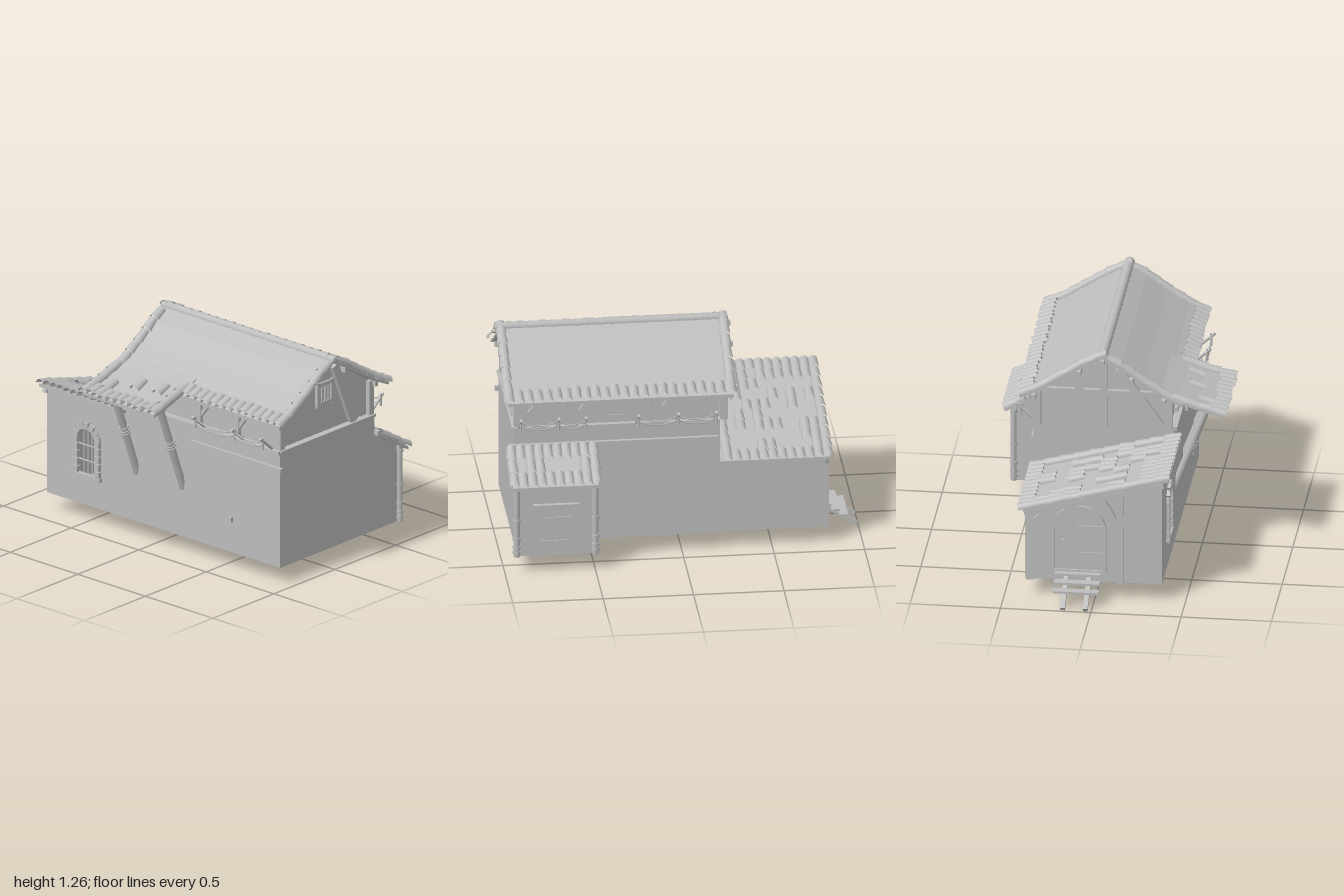
import * as THREE from 'three';

const V = (x, y, z) => new THREE.Vector3(x, y, z);

export function createModel() {
  const house = new THREE.Group();
  house.name = 'house';
  const grey = new THREE.MeshStandardMaterial({ color: 0xbcbcbc, side: THREE.DoubleSide });
  grey.name = 'plain grey';
  let seed = 7;
  const rand = () => (seed = (seed * 16807) % 2147483647) / 2147483647;

  const add = (name, geo) => {
    const m = new THREE.Mesh(geo, grey);
    m.name = name;
    house.add(m);
    return m;
  };
  // Box by its limits
  const box = (name, x0, x1, y0, y1, z0, z1) => add(name, new THREE.BoxGeometry(x1 - x0, y1 - y0, z1 - z0))
    .position.set((x0 + x1) / 2, (y0 + y1) / 2, (z0 + z1) / 2);
  // Bar between two points
  const bar = (name, a, b, geo) => {
    const m = add(name, geo);
    m.position.copy(a).add(b).multiplyScalar(0.5);
    m.quaternion.setFromUnitVectors(V(0, 1, 0), b.clone().sub(a).normalize());
  };
  const beam = (name, a, b, w, d = w) => bar(name, a, b, new THREE.BoxGeometry(w, a.distanceTo(b), d));
  const rod = (name, a, b, r) => bar(name, a, b, new THREE.CylinderGeometry(r, r, a.distanceTo(b), 10));
  const outline = (pts) => new THREE.Shape(pts.map(([x, y]) => new THREE.Vector2(x, y)));
  // Flat walls facing z (points x, y) or facing x (points z, y)
  const wallZ = (name, pts, z) => { add(name, new THREE.ShapeGeometry(outline(pts))).position.z = z; };
  const wallX = (name, shape, x) => {
    const m = add(name, new THREE.ShapeGeometry(shape));
    m.rotation.y = -Math.PI / 2;
    m.position.x = x;
  };
  const rect = (a, b, c, d) => [[a, c], [b, c], [b, d], [a, d]];
  const slab = (name, line, z0, z1, t = 0.018) => {
    const under = line.map(([x, y]) => [x, y - t]).reverse();
    add(name, new THREE.ExtrudeGeometry(outline([...line, ...under]), { depth: z1 - z0, bevelEnabled: false })).position.z = z0;
  };
  // Tapered half-round clay tile
  const tileGeo = new THREE.CylinderGeometry(0.025, 0.031, 1, 8, 1, true, -Math.PI / 2, Math.PI);
  const tile = (p, dir, len = 0.085, w = 1) => {
    const d = dir.clone().normalize();
    d.y += (rand() - 0.5) * 0.1;
    d.z += (rand() - 0.5) * 0.08;
    d.normalize();
    const n = V(0, 1, 0).addScaledVector(d, -d.y).normalize();
    const m = add('roofTile', tileGeo);
    m.quaternion.setFromRotationMatrix(new THREE.Matrix4().makeBasis(d.clone().cross(n), d, n));
    m.position.copy(p).addScaledVector(n, 0.004);
    m.scale.set(w, len, w);
  };
  const interp = (line) => (x) => {
    let i = 1;
    while (i < line.length - 1 && x > line[i][0]) i++;
    const [a, b] = [line[i - 1], line[i]];
    return a[1] + (b[1] - a[1]) * (x - a[0]) / (b[0] - a[0]);
  };
  const onSlope = (f, x, z, len, w) => {
    const s = (f(x + 0.01) - f(x - 0.01)) / 0.02;
    tile(V(x, f(x), z), s > 0 ? V(1, s, 0) : V(-1, -s, 0), len, w);
  };
  const eave = (f, x, z0, z1, len = 0.085) => {
    const n = Math.round((z1 - z0) / 0.053);
    for (let i = 0; i <= n; i++) onSlope(f, x + (rand() - 0.5) * 0.015, z0 + (z1 - z0) * i / n, len);
  };
  const verge = (f, x0, x1, z) => {
    const n = Math.round((x1 - x0) / 0.068);
    for (let i = 0; i <= n; i++) onSlope(f, x0 + (x1 - x0) * i / n, z, 0.08);
  };

  // Ground-floor walls, open underneath
  wallZ('frontWall', [[-0.37, 0.1], [0.6, 0.1], [0.6, 0.555], [0.41, 0.665], [0.395, 0.78], [-0.37, 0.78]], 0.93);
  wallZ('rearWall', rect(-0.37, 0.41, 0.1, 0.78), -0.21);
  wallX('leftWall', outline(rect(-0.21, 0.93, 0.1, 0.78)), -0.37);
  wallX('rightWall', outline([[-0.21, 0.1], [0.5, 0.1], [0.5, 0.66], [0.93, 0.66], [0.93, 0.78], [-0.21, 0.78]]), 0.405);
  box('rightTrim', 0.4, 0.425, 0.665, 0.69, -0.2, 0.96);
  box('leftTrim', -0.388, -0.365, 0.665, 0.69, 0.28, 0.95);
  box('frontSill', -0.37, 0.405, 0.775, 0.787, 0.88, 0.94);
  box('rightSill', 0.37, 0.412, 0.765, 0.787, -0.21, 0.93);
  box('leftSill', -0.385, -0.34, 0.765, 0.787, -0.21, 0.93);
  box('leftStub', -0.385, -0.365, 0.28, 0.31, 0.55, 0.58);

  // Main roof with bare slopes and a left wing
  const roof = [[-0.42, 0.955], [-0.32, 1.005], [-0.2, 1.08], [-0.08, 1.165], [0.02, 1.222],
    [0.12, 1.172], [0.25, 1.09], [0.37, 1.015], [0.48, 0.965]];
  const roofY = interp(roof);
  slab('mainRoof', roof, -0.28, 0.97);
  const wing = [[-0.65, 0.905], [-0.5, 0.945], [-0.4, 0.98], [-0.3, 1.022]];
  const wingY = interp(wing);
  slab('wingRoof', wing, -0.28, 0.25);
  for (let i = 0; i < 20; i++) tile(V(0.02, 1.222, -0.25 + i * 0.0635), V(0, 0, -1), 0.075, 0.95);
  eave(roofY, -0.385, 0.27, 0.96);
  eave(roofY, 0.44, -0.26, 0.96);
  for (const z of [0.962, -0.268]) verge(roofY, -0.38, 0.44, z);
  eave(wingY, -0.62, -0.27, 0.24);
  for (const z of [-0.268, 0.235]) verge(wingY, -0.6, -0.4, z);
  for (const [x, z] of [[-0.54, -0.17], [-0.47, -0.02], [-0.45, 0.13]]) onSlope(wingY, x, z, 0.09);
  for (const x of [-0.39, -0.32, -0.14, 0.02, 0.15, 0.4]) {
    const y = roofY(x) - 0.032;
    box('purlin', x - 0.011, x + 0.011, y - 0.014, y + 0.014, -0.31, 0.95);
  }

  // Upper storey: gables, planks and side walls
  const under = (x) => roofY(x) - 0.018;
  const gable = [[-0.35, 0.78], [0.39, 0.78], ...[0.39, 0.25, 0.12, 0.02, -0.08, -0.2, -0.32, -0.35].map((x) => [x, under(x)])];
  for (const [z, out] of [[0.89, 1], [-0.2, -1]]) {
    wallZ('gableWall', gable, z);
    for (let i = 0; i < 10; i++) {
      const x = -0.35 + i * 0.074;
      const p = rect(x, x + 0.068, 0.78, 1);
      p[2][1] = under(x + 0.068);
      p[3][1] = under(x);
      wallZ('gablePlank', p, z + out * (0.008 + 0.004 * rand()));
    }
    const zf = z + out * 0.025;
    beam('gableBrace', V(0.09, 1.16, zf), V(0.245, 0.785, zf), 0.05, 0.025);
    if (out < 0) {
      beam('gableBrace', V(-0.06, 1.13, zf), V(-0.3, 0.8, zf), 0.04, 0.025);
      box('gablePost', 0, 0.04, 0.78, 1.19, zf - 0.012, zf + 0.012);
      box('gableTie', -0.35, 0.39, 0.97, 1.0, zf - 0.012, zf + 0.012);
    }
    for (const x of [-0.345, 0.385]) box('cornerPost', x - 0.018, x + 0.018, 0.78, under(x) - 0.005, zf - 0.03, zf + 0.012);
  }
  wallX('upperLeftWall', outline(rect(-0.2, 0.89, 0.78, 0.97)), -0.345);
  wallX('upperRightWall', outline(rect(-0.2, 0.89, 0.78, 0.985)), 0.385);

  // Shuttered windows: frame, panel and bars facing +z, then turned in place
  const windowAt = (x, y, z, turn, w, h) => {
    const g = new THREE.Group();
    g.name = 'window';
    const part = (name, pw, ph, px, py, pz) => {
      const m = new THREE.Mesh(new THREE.BoxGeometry(pw, ph, 0.012), grey);
      m.name = name;
      m.position.set(px, py, pz);
      g.add(m);
    };
    part('panel', w, h, 0, 0, 0);
    for (const s of [-1, 1]) {
      part('jamb', 0.025, h + 0.02, s * w * 0.45, 0, 0.01);
      part('rail', w, 0.02, 0, s * h * 0.45, 0.008);
    }
    for (let i = -1; i <= 1; i++) part('windowBar', 0.007, h, i * w * 0.2, 0, 0.008);
    g.position.set(x, y, z);
    g.rotation.y = turn;
    house.add(g);
  };
  windowAt(0.01, 1.02, 0.91, 0, 0.13, 0.125);
  windowAt(0.395, 0.885, 0.37, Math.PI / 2, 0.13, 0.12);

  // Timber framing and rope railing on both long sides
  for (const [s, x, posts, ropes] of [
    [1, 0.392, [0.87, 0.59, 0.13, -0.18], [[0.9, 0.69, 0.54], [0.25, 0.03, -0.18]]],
    [-1, -0.352, [0.87, 0.6, 0.32], [[0.87, 0.66, 0.37]]]]) {
    for (const z of posts) {
      box('sidePost', x - 0.014, x + 0.014, 0.78, 0.975, z - 0.017, z + 0.017);
      for (const d of [-1, 1]) {
        if (Math.abs(z + d * 0.1 - 0.35) < 0.47) beam('sideBrace', V(x, 0.83, z), V(x, 0.965, z + d * 0.1), 0.02, 0.022);
      }
    }
    for (const run of ropes) run.forEach((z, i) => {
      const tip = V(x + s * 0.115, 0.872, z);
      rod('railPost', V(x + s * 0.02, 0.79, z), tip, 0.008);
      rod('railPeg', tip.clone().add(V(-s * 0.02, -0.07, 0)), tip.clone().add(V(-s * 0.02, 0, 0)), 0.007);
      if (!i) return;
      for (const y of [0.855, 0.83]) {
        const a = V(x + s * 0.095, y, run[i - 1]), b = V(x + s * 0.095, y, z);
        const mid = a.clone().lerp(b, 0.5).add(V(0, -0.055, 0));
        add('rope', new THREE.TubeGeometry(new THREE.QuadraticBezierCurve3(a, mid, b), 10, 0.004, 5));
      }
    });
  }

  // Slanting props under the wing
  for (const z of [-0.14, 0.2]) {
    const a = V(-0.555, 0.915, z), b = V(-0.355, 0.38, z);
    rod('wingProp', a, b, 0.022);
    for (const t of [0.43, 0.47, 0.5]) rod('propBinding', a.clone().lerp(b, t), a.clone().lerp(b, t + 0.02), 0.028);
    beam('wingStrut', V(-0.54, 0.88, z), V(-0.43, 0.945, z), 0.02);
  }
  box('wingBeam', -0.57, -0.54, 0.9, 0.925, -0.26, 0.24);

  // Rear annexe with a single-pitch roof
  const annexY = (x) => 0.635 - 0.27 * x;
  const annexTop = (x) => annexY(x) - 0.02;
  wallZ('annexRearWall', [[-0.37, 0.1], [0.38, 0.1], [0.38, annexTop(0.38)], [-0.37, annexTop(-0.37)]], -0.795);
  wallX('annexRightWall', outline(rect(-0.795, -0.21, 0.1, annexTop(0.38))), 0.385);
  const side = outline(rect(-0.795, -0.21, 0.1, annexTop(-0.37)));
  const hole = new THREE.Path().moveTo(-0.56, 0.29).lineTo(-0.43, 0.29).lineTo(-0.43, 0.49);
  hole.absarc(-0.495, 0.49, 0.065, 0, Math.PI).lineTo(-0.56, 0.29);
  side.holes.push(hole);
  wallX('annexLeftWall', side, -0.37);
  // Stone surround and bars of the arched window
  for (let i = 0; i < 5; i++) for (const s of [-1, 1]) {
    const z = -0.495 + s * 0.08, y = 0.28 + i * 0.045;
    box('windowStone', -0.388, -0.36, y, y + 0.04, z - 0.018, z + 0.018);
  }
  for (let i = 0; i < 7; i++) {
    const a = Math.PI * (i + 0.5) / 7, dz = Math.cos(a), dy = Math.sin(a);
    beam('archStone', V(-0.374, 0.49 + dy * 0.063, -0.495 + dz * 0.063), V(-0.374, 0.49 + dy * 0.1, -0.495 + dz * 0.1), 0.028, 0.032);
  }
  box('windowSill', -0.39, -0.36, 0.262, 0.285, -0.6, -0.39);
  for (const z of [-0.525, -0.495, -0.465]) rod('windowBar', V(-0.365, 0.29, z), V(-0.365, 0.545, z), 0.005);
  for (const y of [0.36, 0.45]) rod('windowBar', V(-0.365, y, -0.56), V(-0.365, y, -0.43), 0.005);

  slab('annexRoof', [[-0.41, annexY(-0.41)], [0.4, annexY(0.4)]], -0.82, -0.215);
  for (let c = 0; c < 10; c++) for (let r = 0; r < 12; r++) {
    const edge = c === 0 || c === 9 || r === 0 || r === 11;
    if (edge || rand() < 0.45) onSlope(annexY, -0.375 + c * 0.0835, -0.81 + r * 0.0505, 0.09);
  }
  // Timbers on the annexe rear
  for (const x of [0.36, -0.14]) {
    box('annexPost', x - 0.02, x + 0.02, 0.1, annexTop(x), -0.815, -0.79);
    for (const d of [-1, 1]) {
      const tx = x + d * 0.1;
      if (tx < 0.4) beam('annexBrace', V(x, 0.43, -0.805), V(tx, annexTop(tx) - 0.02, -0.805), 0.024, 0.02);
    }
  }
  beam('annexTopBeam', V(0.39, annexTop(0.39) - 0.015, -0.805), V(-0.38, annexTop(-0.38) - 0.015, -0.805), 0.03, 0.026);

  // Arched door with frame, hinges and handle
  const arch = (w, y0, y1) => new THREE.Shape().moveTo(-w, y0).lineTo(w, y0).lineTo(w, y1).absarc(0, y1, w, 0, Math.PI).lineTo(-w, y0);
  const frame = arch(0.155, 0.16, 0.4);
  frame.holes.push(arch(0.135, 0.17, 0.4));
  for (const [name, shape, depth] of [['doorFrame', frame, 0.018], ['archedDoor', arch(0.135, 0.17, 0.4), 0.006]]) {
    add(name, new THREE.ExtrudeGeometry(shape, { depth, bevelEnabled: false })).position.set(0.09, 0, -0.795 - depth);
  }
  for (const y of [0.26, 0.42]) box('doorHinge', -0.04, 0.1, y, y + 0.016, -0.808, -0.8);
  box('doorHandle', 0.165, 0.185, 0.3, 0.35, -0.815, -0.8);

  // Rear steps
  for (const x of [0.032, 0.157]) beam('stepRail', V(x, 0.14, -0.795), V(x, 0.012, -0.992), 0.026, 0.022);
  for (const [y, z] of [[0.153, -0.822], [0.12, -0.87], [0.087, -0.915]]) box('stepTread', -0.035, 0.22, y - 0.006, y + 0.006, z - 0.024, z + 0.024);

  // Side porch with a lean-to roof
  const porchY = (x) => 0.675 - 0.6 * (x - 0.41);
  wallX('porchWall', outline(rect(0.5, 0.93, 0.1, porchY(0.6) - 0.01)), 0.6);
  wallZ('porchRearWall', [[0.405, 0.1], [0.6, 0.1], [0.6, porchY(0.6) - 0.01], [0.405, 0.66]], 0.5);
  slab('porchRoof', [[0.405, porchY(0.405)], [0.65, porchY(0.65)]], 0.485, 0.96);
  for (let c = 0; c < 3; c++) for (let r = 0; r < 10; r++) {
    if (c !== 1 || r === 0 || r === 9 || rand() < 0.5) onSlope(porchY, 0.455 + c * 0.079, 0.495 + r * 0.0505, 0.09);
  }
  for (const z of [0.5, 0.935]) {
    rod('porchPost', V(0.604, 0.1, z), V(0.604, 0.545, z), 0.017);
    for (const y of [0.12, 0.15, 0.2, 0.31, 0.51]) rod('postBinding', V(0.604, y, z), V(0.604, y + 0.016, z), 0.022);
  }
  box('porchBeam', 0.585, 0.62, 0.53, 0.55, 0.48, 0.95);
  // Plank door
  for (let i = 0; i < 4; i++) box('doorPlank', 0.6, 0.608, 0.1, 0.385, 0.628 + i * 0.046, 0.668 + i * 0.046);
  for (const z of [0.61, 0.825]) box('doorJamb', 0.598, 0.618, 0.1, 0.39, z - 0.014, z + 0.014);
  box('doorLintel', 0.596, 0.624, 0.388, 0.41, 0.59, 0.845);
  for (const y of [0.17, 0.31]) box('doorBatten', 0.604, 0.613, y, y + 0.022, 0.63, 0.805);

  return house;
}
